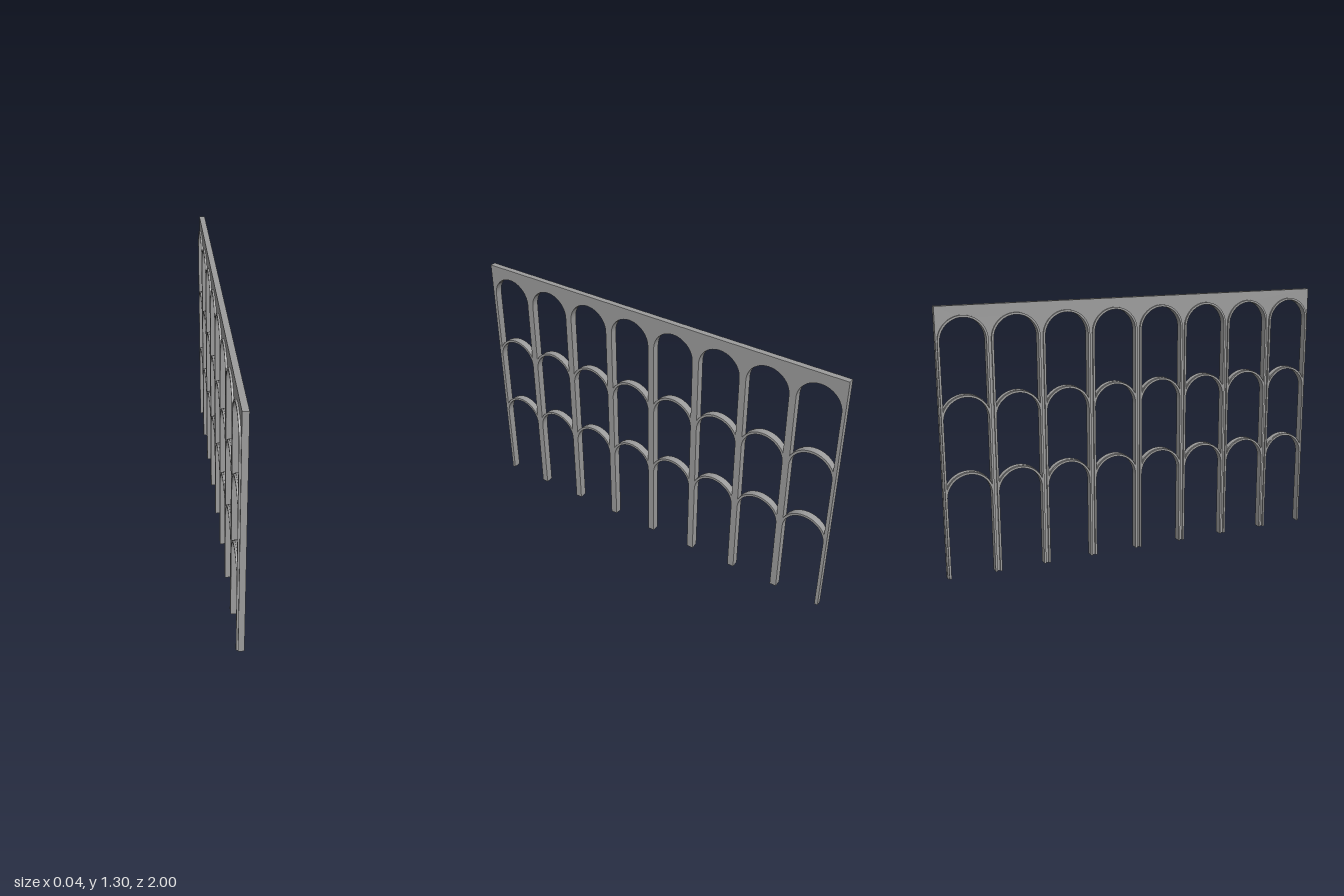
import * as THREE from 'three';
import { toCreasedNormals } from 'three/addons/utils/BufferGeometryUtils.js';

const BAYS = 8, PITCH = 0.25, HEIGHT = 1.3;
const R = 0.108;                      // opening radius
const RIM = 0.118, RIB = 0.12;        // outer radii of the back rims and cross arches
const SPRING = 1.138;                 // where the top arches begin
const FRONT = 0.019, MID = -0.01, BACK = -0.019;
const material = new THREE.MeshStandardMaterial({ color: 0x9c9c9c });

// Extrudes a (z, y) outline along x between two depths.
function slab(name, shape, xMin, xMax) {
  const geo = new THREE.ExtrudeGeometry(shape, { depth: xMax - xMin, bevelEnabled: false, curveSegments: 28 });
  geo.rotateY(-Math.PI / 2).translate(xMax, 0, 0);
  const mesh = new THREE.Mesh(toCreasedNormals(geo, 0.5), material);
  mesh.name = name;
  return mesh;
}

// Wall with piers: one outline notched by an arch in every bay.
function arcadeShape(centres) {
  const s = new THREE.Shape();
  s.moveTo(1, 0);
  s.lineTo(1, HEIGHT);
  s.lineTo(-1, HEIGHT);
  s.lineTo(-1, 0);
  for (const c of centres) {
    s.lineTo(c - R, 0);
    s.lineTo(c - R, SPRING);
    s.absarc(c, SPRING, R, Math.PI, 0, true);
    s.lineTo(c + R, 0);
  }
  s.closePath();
  return s;
}

// Narrow raised band following one opening.
function rimShape() {
  const s = new THREE.Shape();
  s.moveTo(RIM, 0);
  s.lineTo(RIM, SPRING);
  s.absarc(0, SPRING, RIM, 0, Math.PI, false);
  s.lineTo(-RIM, 0);
  s.lineTo(-R, 0);
  s.lineTo(-R, SPRING);
  s.absarc(0, SPRING, R, Math.PI, 0, true);
  s.lineTo(R, 0);
  s.closePath();
  return s;
}

// Thin cross arch, trimmed where it meets the piers.
function ribShape(outer) {
  const a = Math.acos(R / outer);
  const s = new THREE.Shape();
  s.moveTo(R, 0);
  s.absarc(0, 0, outer, a, Math.PI - a, false);
  s.lineTo(-R, 0);
  s.absarc(0, 0, R, Math.PI, 0, true);
  return s;
}

export function createModel() {
  const group = new THREE.Group();
  group.name = 'arcade';
  const centres = Array.from({ length: BAYS }, (_, i) => (i - (BAYS - 1) / 2) * PITCH);
  group.add(slab('arcadeWall', arcadeShape(centres), MID, FRONT));

  // Each cross arch has a wall layer and a slightly slimmer back layer.
  const rim = slab('openingRim', rimShape(), BACK, MID);
  const crossArch = new THREE.Group();
  crossArch.name = 'crossArch';
  crossArch.add(
    slab('crossArchFront', ribShape(RIB), MID, FRONT),
    slab('crossArchRim', ribShape(RIM), BACK, MID)
  );
  for (const z of centres) {
    const r = rim.clone();
    r.position.z = z;
    group.add(r);
    for (const y of [0.4, 0.77]) {
      const arch = crossArch.clone();
      arch.position.set(0, y, z);
      group.add(arch);
    }
  }
  return group;
}
